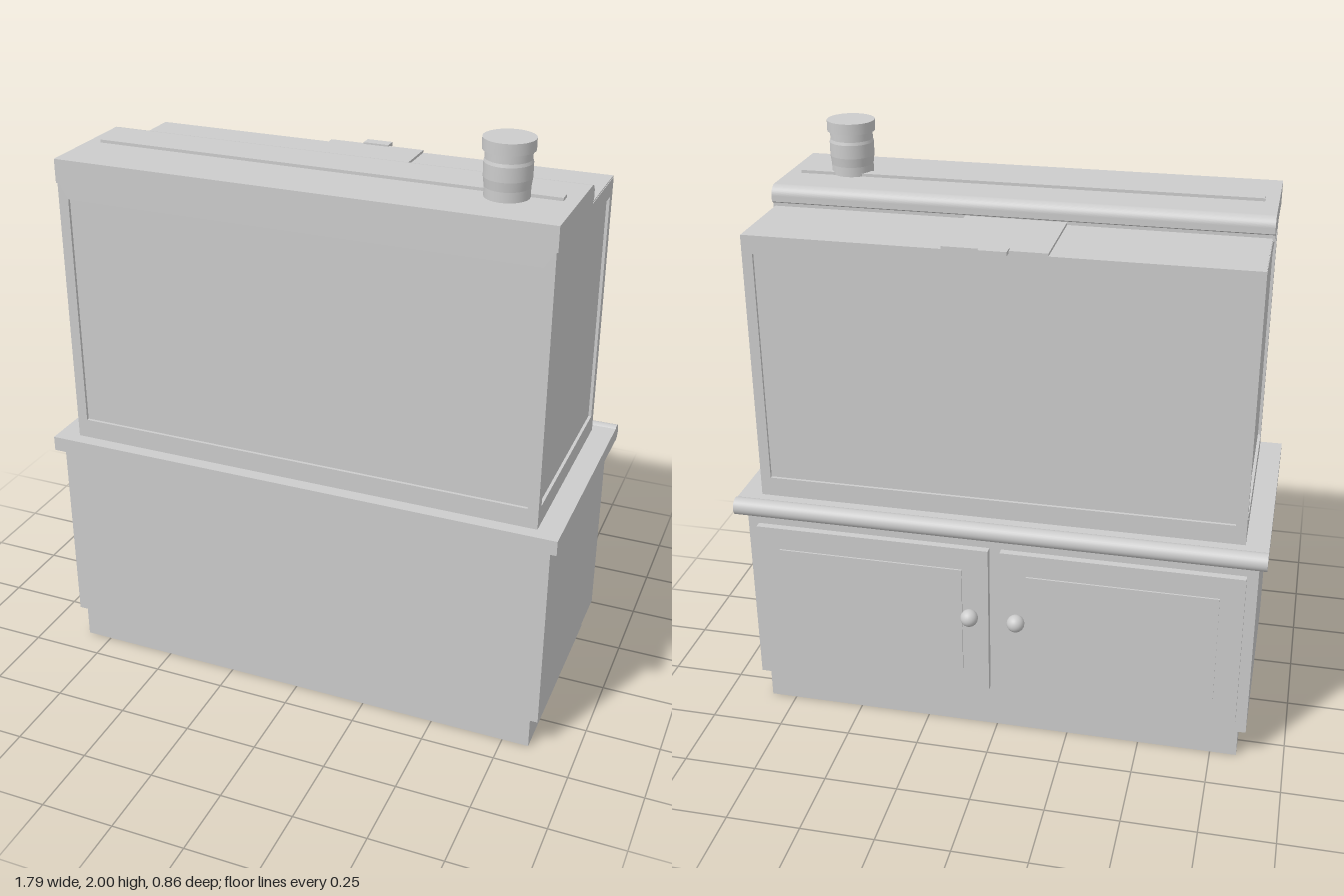
import * as THREE from 'three';

const grey = new THREE.MeshStandardMaterial({ color: 0xcccccc });

export function createModel() {
  const model = new THREE.Group();

  const add = (name, geometry, parent = model) => {
    const mesh = new THREE.Mesh(geometry, grey);
    mesh.name = name;
    parent.add(mesh);
    return mesh;
  };
  // Box given by its extents on each axis
  const box = (name, x0, x1, y0, y1, z0, z1, parent) => {
    const mesh = add(name, new THREE.BoxGeometry(x1 - x0, y1 - y0, z1 - z0), parent);
    mesh.position.set((x0 + x1) / 2, (y0 + y1) / 2, (z0 + z1) / 2);
    return mesh;
  };
  const rectangle = (target, x0, x1, y0, y1) => {
    target.moveTo(x0, y0).lineTo(x1, y0).lineTo(x1, y1).lineTo(x0, y1).closePath();
    return target;
  };

  // Cabinet base
  box('plinth', -0.84, 0.84, 0, 0.12, -0.335, 0.4);
  box('cabinetBody', -0.867, 0.867, 0.11, 0.78, -0.35, 0.405);

  // Countertop with a rolled rear edge
  box('countertop', -0.893, 0.893, 0.777, 0.828, -0.382, 0.43);
  const roll = add('countertopRoll', new THREE.CylinderGeometry(0.03, 0.03, 1.786, 32));
  roll.rotation.z = Math.PI / 2;
  roll.position.set(0, 0.804, -0.382);

  // Pair of cabinet doors with raised panels and knobs
  for (const side of [-1, 1]) {
    const door = new THREE.Group();
    door.name = side > 0 ? 'leftDoor' : 'rightDoor';
    model.add(door);
    const sideBox = (name, a, b, ...rest) =>
      box(name, Math.min(a * side, b * side), Math.max(a * side, b * side), ...rest, door);
    sideBox('doorSlab', 0.02, 0.83, 0.17, 0.725, -0.375, -0.345);
    sideBox('doorPanel', 0.11, 0.75, 0.25, 0.645, -0.381, -0.37);
    const knob = add('doorKnob', new THREE.SphereGeometry(0.03, 24, 16), door);
    knob.position.set(0.08 * side, 0.475, -0.402);
  }

  // Tank: recessed panes surrounded by a frame on all four sides
  const recess = 0.01;
  box('tankPanes', -0.817 + recess, 0.817 - recess, 0.82, 1.747, -0.33 + recess, 0.385 - recess);
  const frame = (name, halfWidth, border, angle, x, z) => {
    const shape = rectangle(new THREE.Shape(), -halfWidth, halfWidth, 0.82, 1.747);
    const w = halfWidth - border;
    shape.holes.push(rectangle(new THREE.Path(), -w, w, 0.895, 1.69));
    const mesh = add(name, new THREE.ExtrudeGeometry(shape, { depth: recess, bevelEnabled: false }));
    mesh.rotation.y = angle;
    mesh.position.set(x, 0, z);
  };
  const middle = 0.0275;
  frame('frontFrame', 0.817, 0.035, 0, 0, 0.385 - recess);
  frame('backFrame', 0.817, 0.035, Math.PI, 0, -0.33 + recess);
  frame('leftFrame', 0.3575, 0.033, Math.PI / 2, 0.817 - recess, middle);
  frame('rightFrame', 0.3575, 0.033, -Math.PI / 2, -0.817 + recess, middle);

  // Hood with a rounded rear lip; profile runs from front to back
  const profile = new THREE.Shape();
  profile.moveTo(-0.386, 1.74).lineTo(0.022, 1.74).lineTo(0.022, 1.762);
  profile.lineTo(0.033, 1.768).lineTo(0.033, 1.787);
  profile.absarc(0, 1.787, 0.033, 0, Math.PI / 2, false);
  profile.lineTo(-0.386, 1.82).closePath();
  const hood = add('hood', new THREE.ExtrudeGeometry(profile, {
    depth: 1.644, bevelEnabled: false, curveSegments: 12,
  }));
  hood.rotation.y = Math.PI / 2;
  hood.position.x = -0.822;
  box('hoodStrip', -0.777, 0.777, 1.815, 1.83, 0.138, 0.175);

  // Rear lids, raised centre flap and its pull tab
  box('rearLid', -0.815, 0.815, 1.742, 1.751, -0.333, 0);
  box('centreFlap', -0.167, 0.167, 1.745, 1.76, -0.333, 0);
  box('flapTab', -0.045, 0.045, 1.753, 1.766, -0.363, -0.323);

  // Vent pipe with a swollen body, a groove and a collar
  const pipe = [
    [0, 0], [0.07, 0], [0.07, 0.035], [0.074, 0.065], [0.074, 0.11], [0.071, 0.12],
    [0.071, 0.147], [0.08, 0.147], [0.08, 0.183], [0, 0.183],
  ].map(([r, y]) => new THREE.Vector2(r, y));
  const vent = add('ventPipe', new THREE.LatheGeometry(pipe, 40).toNonIndexed());
  vent.geometry = creaseRings(pipe, 40);
  vent.position.set(0.61, 1.817, 0.19);

  return model;
}

// Lathe whose bands stay sharp: every profile point is doubled in place
function creaseRings(points, segments) {
  const geometry = new THREE.LatheGeometry(points.flatMap((p) => [p, p.clone()]).slice(1, -1), segments);
  const normal = geometry.attributes.normal;
  const count = (points.length - 1) * 2;
  for (let i = 0; i <= segments; i++) {
    const a = (i / segments) * Math.PI * 2;
    for (let j = 0; j < count; j++) {
      const k = Math.floor(j / 2);
      const d = points[k + 1].clone().sub(points[k]).normalize();
      normal.setXYZ(i * count + j, Math.sin(a) * d.y, -d.x, Math.cos(a) * d.y);
    }
  }
  return geometry;
}
